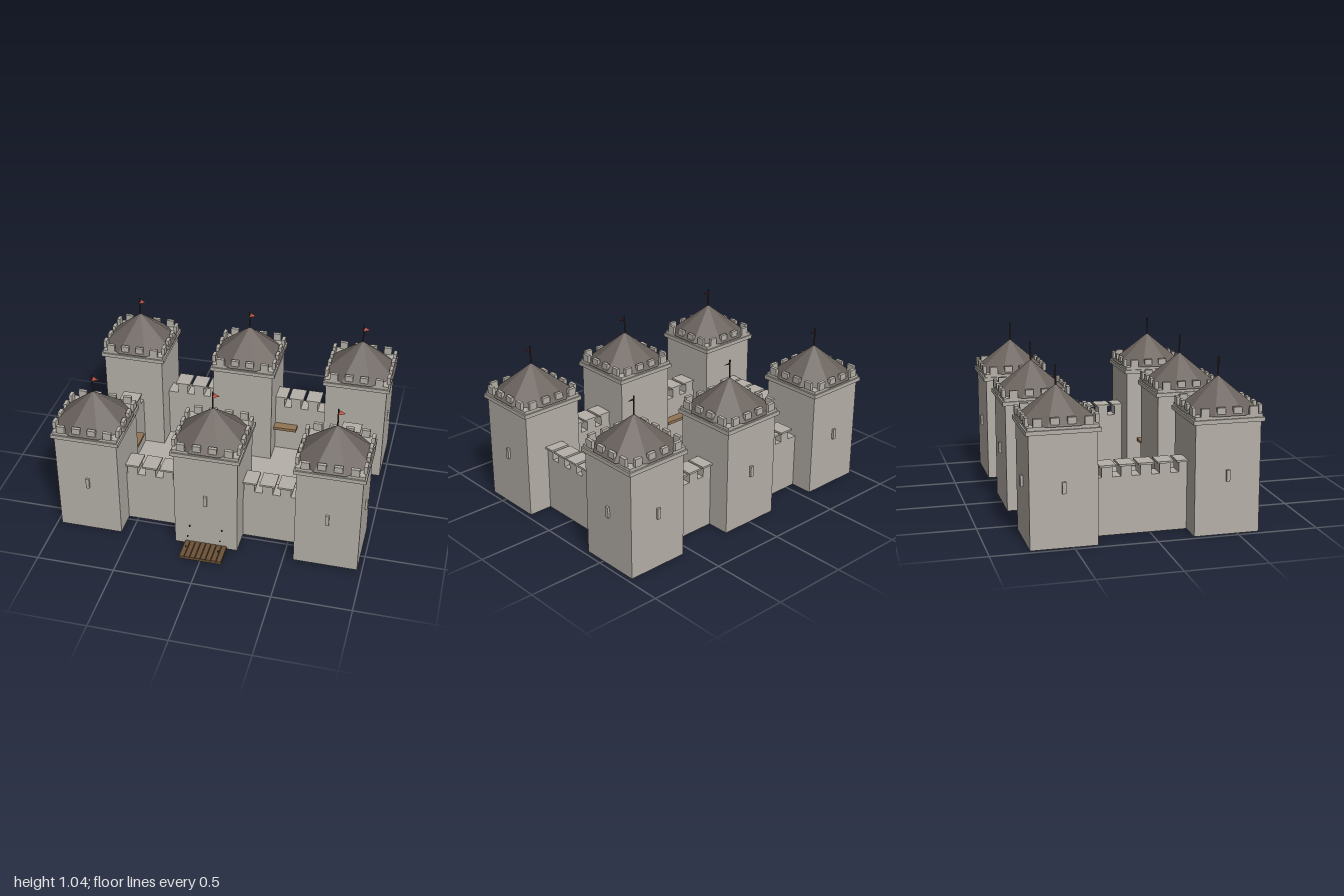
import * as THREE from 'three';

const mat = (color, extra = {}) => new THREE.MeshStandardMaterial({ color, flatShading: true, ...extra });
const stone = mat(0xb5b0a8);
const slate = mat(0x6b635e);
const timber = mat(0x917454);
const darkTimber = mat(0x6b5138);
const iron = mat(0x3a322e);
const red = mat(0xb5402f, { side: THREE.DoubleSide });

const add = (parent, name, geometry, material, x = 0, y = 0, z = 0) => {
  const mesh = new THREE.Mesh(geometry, material);
  mesh.name = name;
  mesh.position.set(x, y, z);
  parent.add(mesh);
  return mesh;
};

// Box given by its x, y and z ranges
const span = (parent, name, material, [x0, x1], [y0, y1], [z0, z1]) =>
  add(parent, name, new THREE.BoxGeometry(x1 - x0, y1 - y0, z1 - z0), material,
    (x0 + x1) / 2, (y0 + y1) / 2, (z0 + z1) / 2);

const group = (parent, name) => {
  const g = new THREE.Group();
  g.name = name;
  parent.add(g);
  return g;
};

const H = 0.2025; // half width of a tower

// Square tower with ledges, battlements, eight-sided roof and pennant
function makeTower(parent, x, z) {
  const tower = group(parent, 'tower');
  tower.position.set(x, 0, z);
  span(tower, 'towerBody', stone, [-H, H], [0, 0.69], [-H, H]);
  span(tower, 'lowerLedge', stone, [-0.22, 0.22], [0.685, 0.71], [-0.22, 0.22]);
  span(tower, 'upperLedge', stone, [-0.21, 0.21], [0.71, 0.73], [-0.21, 0.21]);

  // Battlements, four on each side
  for (let side = 0; side < 4; side++) {
    const row = group(tower, 'battlements');
    row.rotation.y = side * Math.PI / 2;
    for (const u of [-0.15, -0.05, 0.05, 0.15]) {
      add(row, 'merlon', new THREE.BoxGeometry(0.052, 0.05, 0.022), stone, u, 0.755, 0.206);
    }
  }

  const roof = add(tower, 'roof', new THREE.ConeGeometry(0.248, 0.2, 8), slate, 0, 0.83, 0);
  roof.rotation.y = Math.PI / 8;

  add(tower, 'flagPole', new THREE.CylinderGeometry(0.005, 0.005, 0.125, 6), iron, 0, 0.9825, 0);
  const pennant = new THREE.BufferGeometry();
  pennant.setAttribute('position', new THREE.Float32BufferAttribute(
    [0, 1.035, -0.008, 0, 1.008, 0.012, 0.045, 1.02, 0.004], 3));
  pennant.computeVertexNormals();
  add(tower, 'pennant', pennant, red);

  // Window slits on the outward faces only
  const sz = Math.sign(z), sx = Math.sign(x);
  add(tower, 'windowSlit', new THREE.BoxGeometry(0.022, 0.07, 0.024), stone, 0, 0.365, sz * (H + 0.003));
  if (sx) add(tower, 'windowSlit', new THREE.BoxGeometry(0.024, 0.07, 0.022), stone, sx * (H + 0.003), 0.365, 0);
}

// Capped merlons along a wall top; across is the outward range of the wall
function makeMerlons(parent, centres, [a0, a1], alongX) {
  const out = Math.sign(a0 + a1);
  const cap = out > 0 ? [a0 - 0.003, a1 + 0.017] : [a0 - 0.017, a1 + 0.003];
  for (const c of centres) {
    const foot = [c - 0.033, c + 0.033], top = [c - 0.05, c + 0.05];
    const place = (name, along, y, across) => alongX
      ? span(parent, name, stone, along, y, across)
      : span(parent, name, stone, across, y, along);
    place('wallMerlon', foot, [0.36, 0.425], [a0, a1]);
    place('merlonCap', top, [0.425, 0.437], cap);
  }
}

export function createModel() {
  const castle = new THREE.Group();
  castle.name = 'castle';

  for (const x of [-0.767, 0, 0.767]) for (const z of [0.433, -0.557]) makeTower(castle, x, z);

  // Courtyard floor
  span(castle, 'courtyard', stone, [-0.72, 0.72], [0, 0.01], [-0.52, 0.38]);

  // Walls between the towers
  const front = [0.362, 0.472], back = [-0.611, -0.501];
  const walls = group(castle, 'walls');
  for (const s of [-1, 1]) {
    const xr = s > 0 ? [0.19, 0.575] : [-0.575, -0.19];
    span(walls, 'frontWall', stone, xr, [0, 0.36], front);
    span(walls, 'backWall', stone, xr, [0, 0.36], back);
    const side = s > 0 ? [0.706, 0.814] : [-0.814, -0.706];
    span(walls, 'sideWall', stone, side, [0, 0.36], [-0.365, 0.242]);
    makeMerlons(walls, [0.212, 0.093, -0.025, -0.144, -0.263], side, false);
    makeMerlons(walls, [0.23, 0.345, 0.462].map(v => v * s), back, true);
  }
  makeMerlons(walls, [-0.524, -0.405, -0.289, 0.241, 0.358, 0.474], front, true);

  // Timber walkways on the inner faces of the walls
  const walk = [0.2, 0.22];
  span(castle, 'backWalkway', timber, [-0.365, 0.36], walk, [-0.501, -0.44]);
  for (const s of [-1, 1]) {
    const wx = s > 0 ? [0.64, 0.706] : [-0.706, -0.645];
    span(castle, 'sideWalkway', timber, wx, walk, [-0.16, 0.02]);
    span(castle, 'frontWalkway', timber, s > 0 ? [0.265, 0.55] : [-0.55, -0.27], walk, [0.3, 0.362]);
  }

  // Lowered drawbridge: planks on a deck, with chain links rising to the tower
  const bridge = group(castle, 'drawbridge');
  span(bridge, 'deck', darkTimber, [-0.137, 0.137], [0, 0.013], [0.62, 0.79]);
  for (let i = 0; i < 8; i++) {
    const x = -0.137 + i * 0.03425;
    span(bridge, 'plank', darkTimber, [x + 0.002, x + 0.032], [0.01, 0.02], [0.625, 0.79]);
  }
  for (const x of [-0.105, 0.105]) {
    for (let i = 0; i < 3; i++) {
      add(bridge, 'chainLink', new THREE.BoxGeometry(0.008, 0.008, 0.008), iron, x, 0.06 + i * 0.0425, 0.74 - i * 0.05);
    }
  }
  return castle;
}
